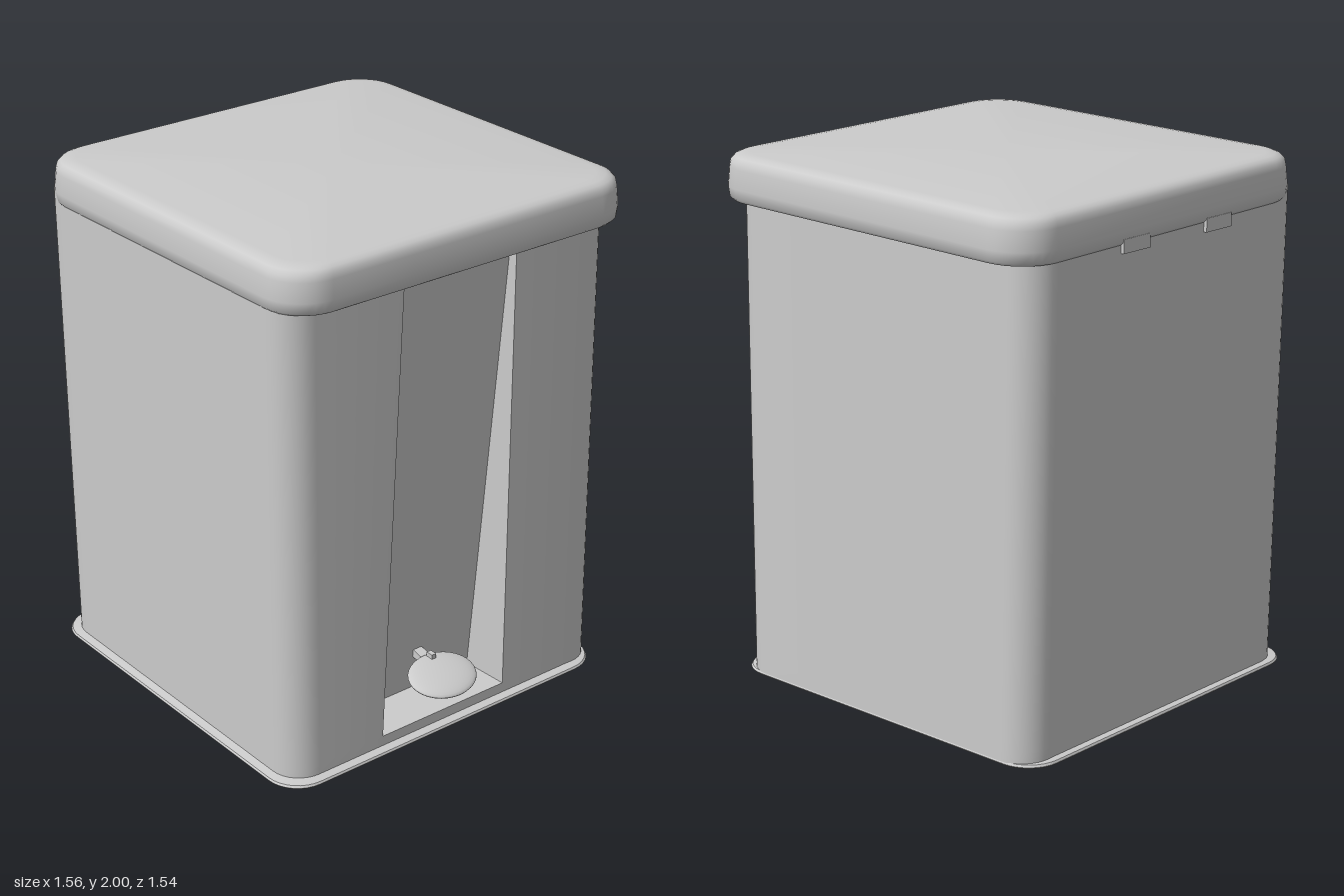
import * as THREE from 'three';
import { toCreasedNormals } from 'three/addons/utils/BufferGeometryUtils.js';

// Rounded rectangle at height y, with an optional notch cut into its +x side
function ring(y, x0, x1, z0, z1, r, depth = 0, zFront = 0.25) {
  const pts = [], n = 8;
  const corners = [[x1 - r, z0 + r], [x0 + r, z0 + r], [x0 + r, z1 - r], [x1 - r, z1 - r]];
  corners.forEach(([cx, cz], c) => {
    for (let i = 0; i <= n; i++) {
      const a = (c + i / n) * Math.PI / 2;
      pts.push([cx + r * Math.cos(a), y, cz - r * Math.sin(a)]);
    }
  });
  const inset = 0.06 * depth;
  pts.push([x1, y, zFront], [x1 - depth, y, zFront - inset],
    [x1 - depth, y, -0.25 + inset], [x1, y, -0.25]);
  return pts;
}

// Skin a stack of rings from first to last; fans close an end where an apex height is given
function loft(rings, startY, endY) {
  const n = rings[0].length, pos = rings.flat(2), idx = [];
  for (let k = 0; k < rings.length - 1; k++)
    for (let i = 0; i < n; i++) {
      const j = (i + 1) % n, a = k * n, b = a + n;
      idx.push(a + i, a + j, b + j, a + i, b + j, b + i);
    }
  const fan = (y, offset, flip) => {
    const c = pos.length / 3;
    pos.push(0, y, 0);
    for (let i = 0; i < n; i++) {
      const a = offset + i, b = offset + (i + 1) % n;
      idx.push(c, flip ? b : a, flip ? a : b);
    }
  };
  if (startY !== undefined) fan(startY, 0, true);
  if (endY !== undefined) fan(endY, (rings.length - 1) * n, false);
  const g = new THREE.BufferGeometry();
  g.setAttribute('position', new THREE.Float32BufferAttribute(pos, 3));
  g.setIndex(idx);
  return g;
}

export function createModel() {
  const group = new THREE.Group();
  const mat = new THREE.MeshStandardMaterial({ color: 0xcccccc, side: THREE.DoubleSide });
  const add = (name, geo) => {
    const m = new THREE.Mesh(geo, mat);
    m.name = name;
    group.add(m);
    return m;
  };

  // Bin body with a recess that deepens towards the pedal
  const wall = (y, depth, zFront) => {
    const t = y / 1.85;
    return ring(y, -0.742 - 0.02 * t, 0.695, -0.722 + 0.014 * t, 0.735 + 0.013 * t, 0.12, depth, zFront);
  };
  const rings = [wall(0.012, 0, 0.325), wall(0.06, 0, 0.325)];
  for (let i = 0; i <= 8; i++) {
    const t = i / 8;
    rings.push(wall(0.06 + 1.78 * t, 0.19 - 0.16 * t, 0.325 - 0.075 * t));
  }
  rings.push(wall(1.85, 0, 0.25));
  add('body', toCreasedNormals(loft(rings, undefined, 1.85), 0.5));

  // Thin foot flange around a recessed underside that rises to a raised middle
  const foot = (y, e) => ring(y, -0.768 + e, 0.73 - e, -0.722 + e, 0.77 - e, 0.13);
  add('base', toCreasedNormals(loft([ring(0.06, -0.3, 0.3, -0.3, 0.3, 0.05), foot(0.035, 0.06),
    foot(0, 0.03), foot(0, 0.004), foot(0.006, 0), foot(0.014, 0.004), foot(0.022, 0.045)], 0.065), 0.15));

  // Lid with rounded edges, tucked in below and tilted a little
  const lidRing = (y, e) => ring(y, -0.776 + e, 0.747 - e, -0.772 + e, 0.757 - e, 0.165 - e * 0.5);
  const lid = loft([lidRing(1.83, 0.07), lidRing(1.81, 0.03), lidRing(1.811, 0.014),
    lidRing(1.822, 0.004), lidRing(1.86, 0), lidRing(1.93, 0.006), lidRing(1.952, 0.01),
    lidRing(1.967, 0.022), lidRing(1.975, 0.04), lidRing(1.979, 0.07)], 1.83, 1.982);
  const p = lid.attributes.position;
  for (let i = 0; i < p.count; i++)
    p.setY(i, p.getY(i) + 0.024 * p.getX(i) + 0.012 * p.getZ(i));
  add('lid', toCreasedNormals(lid, 0.8));

  // Hinge knuckles under the lid on the side opposite the pedal
  for (const z of [-0.2, 0.25]) {
    const hinge = add('hinge', new THREE.BoxGeometry(0.025, 0.05, 0.14));
    hinge.position.set(-0.762, 1.785, z);
  }

  // Oval pedal plate and the lever behind it
  const pedal = add('pedal', new THREE.SphereGeometry(1, 32, 16));
  pedal.scale.set(0.11, 0.024, 0.14);
  pedal.position.set(0.675, 0.195, 0.03);
  pedal.rotation.z = -0.28;
  const lever = add('pedalLever', new THREE.BoxGeometry(0.2, 0.03, 0.04));
  lever.position.set(0.55, 0.21, 0.02);
  lever.rotation.z = -0.2;
  const bracket = add('pedalBracket', new THREE.BoxGeometry(0.03, 0.11, 0.02));
  bracket.position.set(0.6, 0.195, 0.02);

  return group;
}
